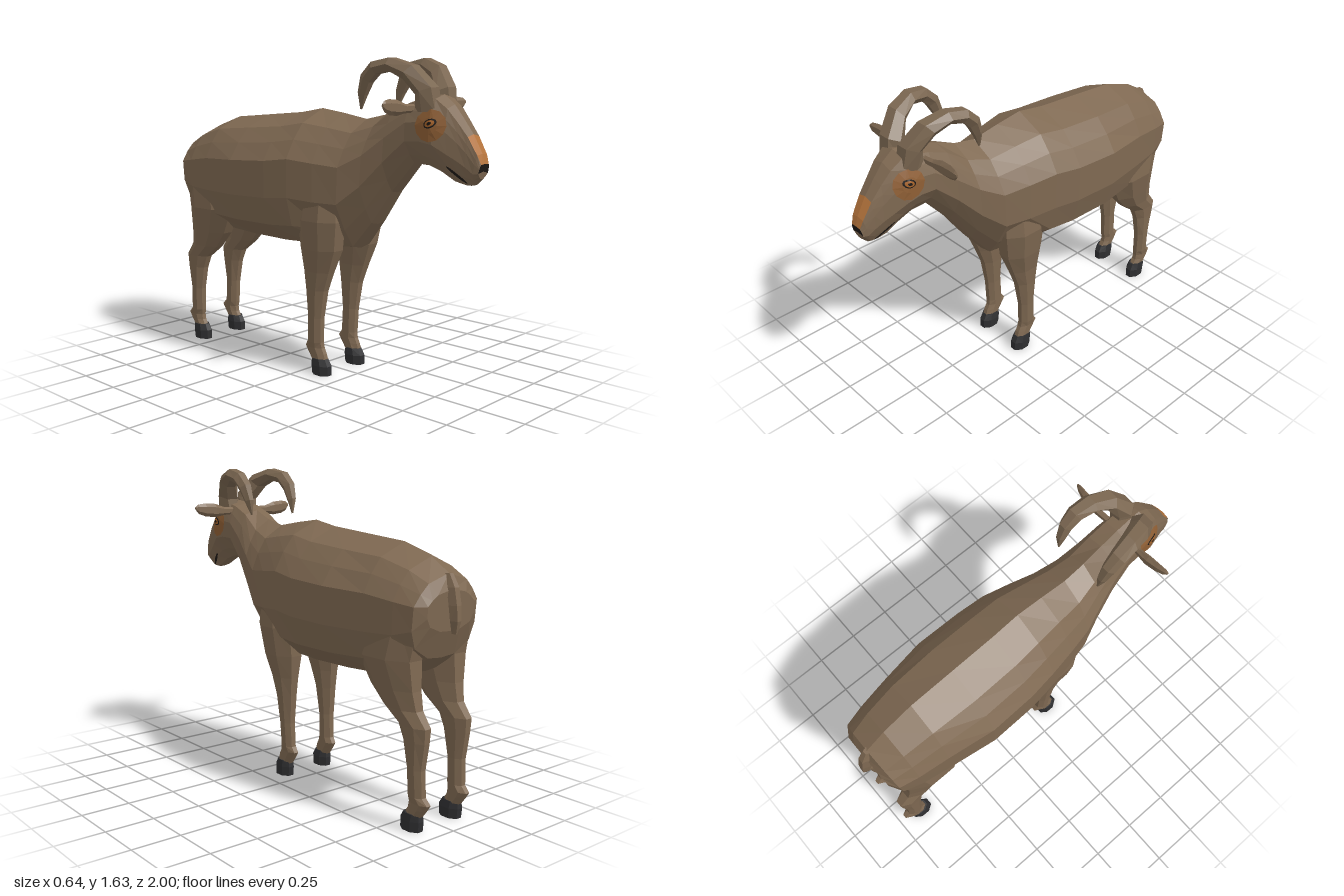
import * as THREE from 'three';

const paint = (name, color) => {
  const m = new THREE.MeshStandardMaterial({ color });
  m.name = name;
  return m;
};
const fur = paint('brown fur', 0x7f6952);
const tan = paint('orange tan', 0xb5743c);
const eyePatchTan = paint('dark tan', 0x8f5f35);
const hornBrown = paint('horn brown', 0x7b6751);
const hoofGrey = paint('hoof grey', 0x2f2f31);
const black = paint('black', 0x1f1a17);
const amber = paint('amber', 0xa8642a);

// Flat-faced skin over closed rings of points; pick(i, j) gives a material index per face.
function loft(rings, pick = () => 0) {
  const n = rings[0].length, last = rings.length - 1, lists = [];
  let volume = 0;
  const tri = (k, a, b, c) => {
    (lists[k] ??= []).push([a, b, c]);
    volume += a.dot(b.clone().cross(c));
  };
  for (let i = 0; i < last; i++) for (let j = 0; j < n; j++) {
    const a = rings[i][j], b = rings[i][(j + 1) % n];
    const c = rings[i + 1][(j + 1) % n], d = rings[i + 1][j];
    tri(pick(i, j), a, d, b);
    tri(pick(i, j), b, d, c);
  }
  for (const end of [0, last]) {
    const mid = new THREE.Vector3();
    rings[end].forEach(p => mid.addScaledVector(p, 1 / n));
    rings[end].forEach((p, j) => {
      const q = rings[end][(j + 1) % n], k = pick(end ? last : -1, j);
      end ? tri(k, mid, q, p) : tri(k, mid, p, q);
    });
  }
  const g = new THREE.BufferGeometry(), pts = [];
  lists.forEach((list, k) => {
    g.addGroup(pts.length, list.length * 3, k);
    for (const [a, b, c] of list) pts.push(a, ...(volume > 0 ? [b, c] : [c, b]));
  });
  g.setFromPoints(pts);
  g.computeVertexNormals();
  return g;
}

function add(parent, name, geometry, material) {
  const mesh = new THREE.Mesh(geometry, material);
  mesh.name = name;
  parent.add(mesh);
  return mesh;
}

// Torso, neck and head: [zTop, yTop, zBottom, yBottom, halfWidth, top flatness]
const BODY = [
  [-.955, 1.12, -.945, .93, .15, .6],
  [-.93, 1.19, -.895, .80, .205, .6],
  [-.82, 1.255, -.80, .72, .23, .6],
  [-.65, 1.31, -.65, .68, .255, .6],
  [-.40, 1.33, -.40, .67, .293, .56],
  [-.15, 1.35, -.15, .665, .287, .56],
  [0, 1.375, 0, .67, .27, .56],
  [.15, 1.355, .15, .665, .24, .55],
  [.30, 1.33, .27, .675, .207, .55],
  [.42, 1.355, .38, .81, .165, .55],
  [.53, 1.40, .50, .98, .135, .6],
  [.63, 1.435, .63, 1.13, .117, .65],
  [.70, 1.45, .72, 1.125, .113, .65],
  [.77, 1.46, .79, 1.10, .112, .65],
  [.83, 1.415, .86, 1.06, .087, .72],
  [.88, 1.355, .905, 1.05, .07, .76],
  [.935, 1.285, .93, 1.05, .057, .8],
  [.985, 1.20, .955, 1.055, .046, .85],
  [1.0, 1.155, .985, 1.085, .038, .8],
];
function bodyRing([zt, yt, zb, yb, w, flat]) {
  // The back slopes more than the skull; chest and jaw are narrower below than the barrel
  const shoulder = zt < .5 ? .9 : .95, low = zt < .05 ? .86 : .64;
  const half = [[flat, shoulder], [.52 + flat / 2, (shoulder + .67) / 2], [1, .65], [1, .37], [low, .16], [low / 2, .02]];
  const outline = [[0, 1], ...half, [0, 0], ...half.map(([x, f]) => [-x, f]).reverse()];
  return outline.map(([x, f]) => new THREE.Vector3(
    x * w, THREE.MathUtils.lerp(yb, yt, f), THREE.MathUtils.lerp(zb, zt, f)));
}

// Eight-sided level ring for legs and hooves: [y, zFront, zBack, xInner, xOuter]
const legRing = side => ([y, zf, zb, xi, xo]) => Array.from({ length: 8 }, (_, k) => {
  const a = (k + .5) * Math.PI / 4, r = 1.08;
  const c = Math.cos(a) * r, s = Math.sin(a) * r;
  return new THREE.Vector3(side * ((xi + xo) / 2 + c * (xo - xi) / 2), y, (zf + zb) / 2 + s * (zf - zb) / 2);
});
const FRONT_LEG = [
  [1.0, .25, .02, .07, .215], [.82, .26, -.005, .06, .235], [.67, .235, 0, .055, .215],
  [.55, .187, .015, .08, .19], [.45, .15, .025, .09, .18], [.30, .125, .035, .10, .17],
  [.17, .12, .03, .10, .165], [.14, .125, .01, .10, .16], [.11, .14, .03, .10, .16], [.07, .152, .058, .10, .16],
];
const HIND_LEG = [
  [1.02, -.56, -.93, .06, .22], [.80, -.53, -.88, .05, .24], [.66, -.61, -.885, .07, .21],
  [.57, -.69, -.90, .08, .19], [.50, -.785, -.955, .09, .18], [.43, -.815, -.95, .095, .175],
  [.30, -.84, -.93, .10, .17], [.17, -.845, -.935, .10, .165], [.14, -.85, -.965, .10, .16],
  [.11, -.845, -.945, .10, .16], [.07, -.82, -.915, .10, .16],
];
const hoofRows = (front, back) => [
  [.085, front - .02, back, .097, .165], [.05, front, back - .005, .09, .17], [0, front, back, .092, .168]];

// Horn: [x, y, z, half width, half depth]
const HORN = [
  [.058, 1.38, .725, .056, .06], [.066, 1.475, .72, .064, .05], [.105, 1.56, .655, .058, .042],
  [.133, 1.597, .565, .05, .032], [.147, 1.58, .48, .043, .033], [.148, 1.53, .428, .036, .033],
  [.144, 1.46, .398, .025, .024], [.138, 1.385, .383, .004, .005],
];
function hornRing(side) {
  return (h, i) => {
    const a = HORN[Math.max(i - 1, 0)], b = HORN[Math.min(i + 1, HORN.length - 1)];
    const along = new THREE.Vector2(b[2] - a[2], b[1] - a[1]).normalize();
    return Array.from({ length: 6 }, (_, k) => {
      const t = k * Math.PI / 3, u = Math.cos(t) * h[3], v = Math.sin(t) * h[4] * 1.1;
      return new THREE.Vector3(side * (h[0] + u), h[1] - v * along.x, h[2] + v * along.y);
    });
  };
}

// Ear: [x, y, z, half height, half thickness]
const EAR = [
  [.08, 1.395, .655, .02, .015], [.14, 1.395, .65, .022, .016], [.20, 1.40, .65, .037, .02],
  [.26, 1.405, .655, .036, .016], [.30, 1.41, .662, .026, .011], [.318, 1.415, .665, .008, .005],
];
const earRing = side => ([x, y, z, h, t]) => Array.from({ length: 6 }, (_, k) => {
  const a = k * Math.PI / 3;
  return new THREE.Vector3(side * x, y + Math.cos(a) * h, z + Math.sin(a) * t);
});

// Tail: [y, zInner, zOuter, half width]
const TAIL = [
  [1.19, -.91, -.945, .022], [1.13, -.945, -.98, .03], [1.05, -.96, -.996, .03], [.98, -.965, -1, .024], [.92, -.962, -.985, .008]];

// Thin elliptical plate that follows the side of the head
function facePlate(head, side, zc, yc, rz, ry, turn, lift) {
  const ray = new THREE.Raycaster(), n = 12;
  const at = (a, r) => {
    const u = Math.cos(a) * rz * r, v = Math.sin(a) * ry * r;
    const z = zc + u * Math.cos(turn) - v * Math.sin(turn), y = yc + u * Math.sin(turn) + v * Math.cos(turn);
    ray.set(new THREE.Vector3(1, y, z), new THREE.Vector3(-1, 0, 0));
    const hit = ray.intersectObject(head)[0];
    return new THREE.Vector3(side * ((hit ? hit.point.x : .04) + lift), y, z);
  };
  const pts = [];
  const tri = (a, b, c) => pts.push(a, ...(side > 0 ? [c, b] : [b, c]));
  for (let k = 0; k < n; k++) {
    const a = k / n * Math.PI * 2, b = (k + 1) / n * Math.PI * 2;
    tri(at(0, 0), at(a, .5), at(b, .5));
    tri(at(a, .5), at(a, 1), at(b, 1));
    tri(at(a, .5), at(b, 1), at(b, .5));
  }
  const g = new THREE.BufferGeometry().setFromPoints(pts);
  g.computeVertexNormals();
  return g;
}

export function createModel() {
  const goat = new THREE.Group();
  goat.name = 'horned goat';

  // Tan bridge of the muzzle and dark nose tip are faces of the body skin
  const end = BODY.length - 1;
  const pick = (i, j) => {
    if (i === end) return j < 4 || j > 9 ? 2 : 0;
    return i >= end - 2 && (j === 0 || j === 13) ? 1 : 0;
  };
  const body = add(goat, 'body and head', loft(BODY.map(bodyRing), pick), [fur, tan, black]);
  body.updateMatrixWorld();

  add(goat, 'tail', loft(TAIL.map(([y, zi, zo, w]) => [
    new THREE.Vector3(w, y, zi), new THREE.Vector3(w * .5, y, zo),
    new THREE.Vector3(-w * .5, y, zo), new THREE.Vector3(-w, y, zi)])), fur);

  for (const side of [1, -1]) {
    const half = new THREE.Group();
    half.name = side > 0 ? 'left side' : 'right side';
    goat.add(half);

    // Legs and hooves
    add(half, 'front leg', loft(FRONT_LEG.map(legRing(side))), fur);
    add(half, 'hind leg', loft(HIND_LEG.map(legRing(side))), fur);
    add(half, 'front hoof', loft(hoofRows(.17, .06).map(legRing(side))), hoofGrey);
    add(half, 'hind hoof', loft(hoofRows(-.80, -.915).map(legRing(side))), hoofGrey);

    // Horn and ear
    add(half, 'horn', loft(HORN.map(hornRing(side))), hornBrown);
    add(half, 'ear', loft(EAR.map(earRing(side))), fur);

    // Eye and mouth
    const plate = (name, mat, ...p) => add(half, name, facePlate(body, side, ...p), mat);
    plate('eye patch', eyePatchTan, .767, 1.32, .077, .075, 0, .004);
    plate('eye rim', black, .772, 1.33, .033, .021, .35, .006);
    plate('iris', amber, .772, 1.33, .025, .015, .35, .008);
    plate('pupil', black, .772, 1.33, .012, .007, .35, .0095);
    plate('mouth', black, .882, 1.1, .06, .008, -.68, .006);
  }
  return goat;
}
